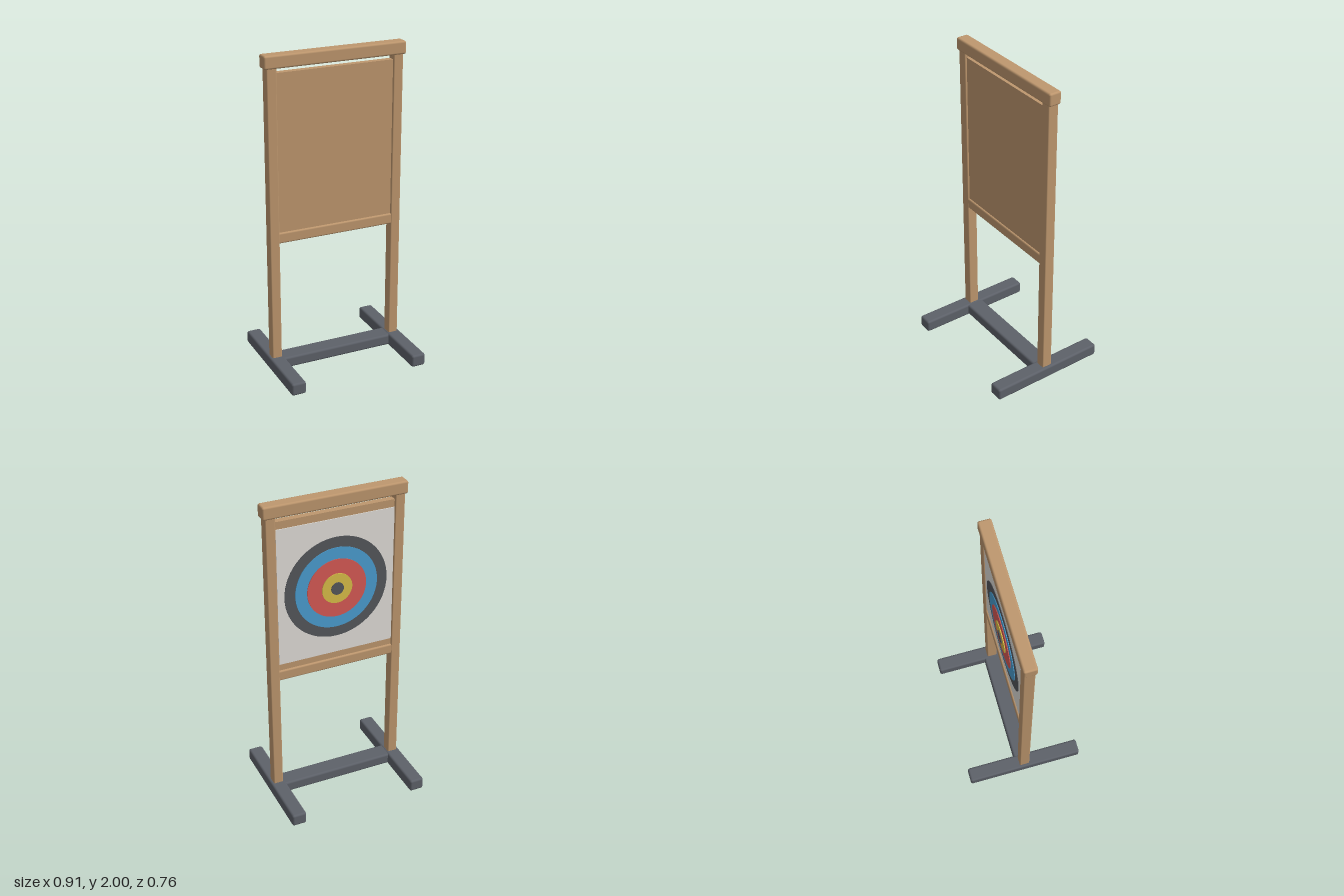
import * as THREE from 'three';
import { RoundedBoxGeometry } from 'three/addons/geometries/RoundedBoxGeometry.js';

const material = (name, color) => {
  const m = new THREE.MeshStandardMaterial({ color });
  m.name = name;
  return m;
};

export function createModel() {
  const group = new THREE.Group();
  group.name = 'archeryTargetStand';

  const wood = material('wood', 0xbe976e);
  const grey = material('slate grey', 0x5d6169);
  const paper = material('white paper', 0xe0ddd8);
  const dark = material('charcoal', 0x55575b);
  const blue = material('blue', 0x4b9dd0);
  const red = material('red', 0xd75a55);
  const gold = material('gold', 0xd9bd48);

  const add = (name, geometry, mat, x, y, z) => {
    const mesh = new THREE.Mesh(geometry, mat);
    mesh.name = name;
    mesh.position.set(x, y, z);
    group.add(mesh);
    return mesh;
  };
  // softly rounded beam
  const beam = (name, mat, w, h, d, x, y, z, r = 0.01) =>
    add(name, new RoundedBoxGeometry(w, h, d, 2, r), mat, x, y, z);

  // base: two feet joined by a wide crossbar
  for (const [side, s] of [['left', 1], ['right', -1]]) {
    beam(side + 'Foot', grey, 0.093, 0.08, 0.758, s * 0.407, 0.04, 0, 0.014);
    beam(side + 'Post', wood, 0.062, 1.87, 0.066, s * 0.405, 1.0, 0, 0.007);
  }
  beam('baseCrossbar', grey, 0.78, 0.072, 0.116, 0, 0.041, 0, 0.014);

  // top beam and lower rail
  beam('topBeam', wood, 0.905, 0.08, 0.08, 0, 1.96, 0, 0.012);
  beam('lowerRail', wood, 0.77, 0.068, 0.062, 0, 0.878, 0, 0.01);

  // backing board with paper on its rear face
  add('backingBoard', new THREE.BoxGeometry(0.752, 0.985, 0.04), wood, 0, 1.4, 0);
  add('paperSheet', new THREE.BoxGeometry(0.745, 0.89, 0.006), paper, 0, 1.4, -0.022);

  // stacked discs, each standing a little further out
  const rings = [
    ['outerRing', dark, 0.33, -0.028],
    ['blueRing', blue, 0.264, -0.032],
    ['redRing', red, 0.19, -0.036],
    ['goldRing', gold, 0.097, -0.041],
    ['centreSpot', dark, 0.04, -0.046],
  ];
  for (const [name, mat, radius, back] of rings) {
    const disc = new THREE.CylinderGeometry(radius, radius, 0.006, 64);
    disc.rotateX(Math.PI / 2);
    add(name, disc, mat, 0, 1.4, back + 0.003);
  }
  return group;
}
